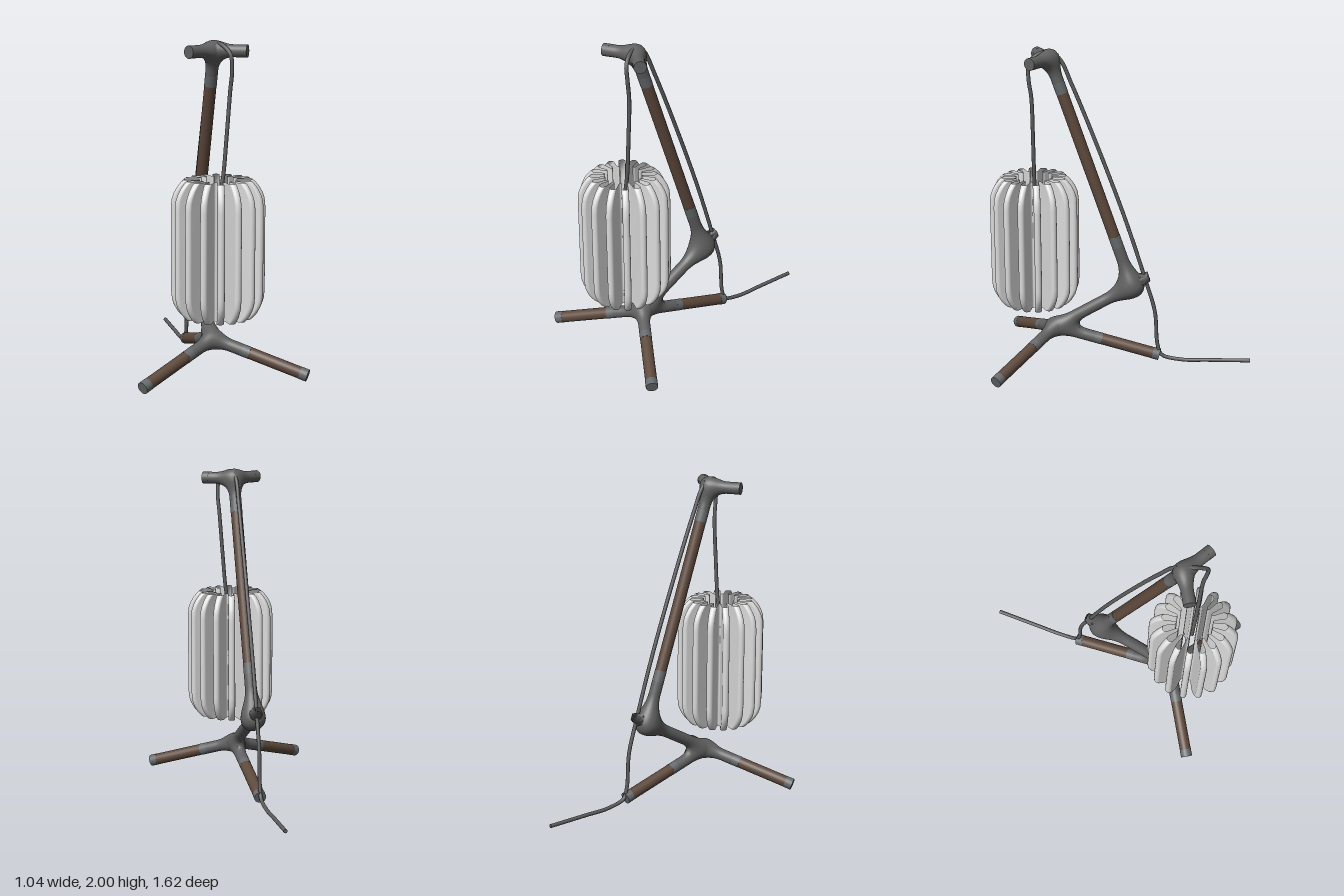
import * as THREE from 'three';

const V = (x, y, z) => new THREE.Vector3(x, y, z);
const R = 0.037;

export function createModel() {
  const model = new THREE.Group();
  model.name = 'tripodLamp';
  const material = (name, color, side = THREE.FrontSide) => {
    const m = new THREE.MeshStandardMaterial({ color, side });
    m.name = name;
    return m;
  };
  const grey = material('jointGrey', 0x606060);
  const collarGrey = material('collarGrey', 0x666a6c);
  const wood = material('darkWood', 0x5e493c);
  const cordGrey = material('cordGrey', 0x5c5c5c);
  const shadeWhite = material('shadeWhite', 0xdcdcdc, THREE.DoubleSide);

  const add = (name, geometry, mat) => {
    const mesh = new THREE.Mesh(geometry, mat);
    mesh.name = name;
    model.add(mesh);
    return mesh;
  };

  // Straight round rod between two points
  function rod(name, a, b, r, mat) {
    const d = b.clone().sub(a);
    const mesh = add(name, new THREE.CylinderGeometry(r, r, d.length(), 28), mat);
    mesh.position.copy(a).lerp(b, 0.5);
    mesh.quaternion.setFromUnitVectors(V(0, 1, 0), d.normalize());
  }

  // Wooden rod with a collar at each end
  function woodenRod(name, a, b, collar) {
    const d = b.clone().sub(a).normalize();
    const a1 = a.clone().addScaledVector(d, collar);
    const b1 = b.clone().addScaledVector(d, -collar);
    rod(name, a1, b1, R - 0.001, wood);
    rod(name + 'StartCollar', a, a1, R, collarGrey);
    rod(name + 'EndCollar', b1, b, R, collarGrey);
  }

  // Moulded joint: limbs meet at a hub and melt together; pairs are [limb, limb, softness]
  function joint(name, hub, ends, pairs) {
    const limbs = ends.map((e) => {
      const dir = e.clone().sub(hub);
      const length = dir.length();
      return { dir: dir.normalize(), length };
    });
    const q = V(0, 0, 0);
    const field = (p) => {
      const d = limbs.map(({ dir }) => {
        q.copy(p).sub(hub);
        return q.addScaledVector(dir, -Math.max(q.dot(dir), 0)).length() - R;
      });
      return Math.min(...pairs.map(([i, j, k]) => {
        const h = Math.max(k - Math.abs(d[i] - d[j]), 0) / k;
        return Math.min(d[i], d[j]) - h * h * k / 4;
      }));
    };
    const along = 36, around = 32;
    limbs.forEach(({ dir, length }, n) => {
      const side = V(1, 0.013, 0.02).cross(dir).normalize();
      const up = dir.clone().cross(side);
      const pos = [], nor = [], idx = [];
      for (let i = 0; i <= along; i++) {
        const t = -0.02 + (length + 0.02) * i / along;
        for (let j = 0; j <= around; j++) {
          const a = j / around * Math.PI * 2;
          const ray = side.clone().multiplyScalar(Math.cos(a)).addScaledVector(up, Math.sin(a));
          const start = hub.clone().addScaledVector(dir, t);
          const p = start.clone();
          let reach = 0;
          for (let s = 0; s < 30 && reach < 0.12; s++) {
            reach = Math.min(Math.max(reach - field(p) * 0.8, 0), 0.12);
            p.copy(start).addScaledVector(ray, reach);
          }
          const e = 0.001, f = field(p);
          const g = V(field(p.clone().add(V(e, 0, 0))) - f, field(p.clone().add(V(0, e, 0))) - f,
            field(p.clone().add(V(0, 0, e))) - f).normalize();
          pos.push(p.x, p.y, p.z);
          nor.push(g.x, g.y, g.z);
          if (i < along && j < around) {
            const k = i * (around + 1) + j, m = k + around + 1;
            idx.push(k, k + 1, m, k + 1, m + 1, m);
          }
        }
      }
      const geo = new THREE.BufferGeometry();
      geo.setAttribute('position', new THREE.Float32BufferAttribute(pos, 3));
      geo.setAttribute('normal', new THREE.Float32BufferAttribute(nor, 3));
      geo.setIndex(idx);
      add(name + 'Limb' + n, geo, grey);
    });
  }

  // Key points of the frame
  const topHub = V(0, 1.947, 0.432);
  const midHub = V(0, 0.51, -0.066);
  const baseHub = V(0, 0.225, 0.42);
  const poleTop = topHub.clone().lerp(midHub, 0.1);
  const poleLow = topHub.clone().lerp(midHub, 0.82);
  const armMid = midHub.clone().lerp(baseHub, 0.5);
  const stubEnd = V(0, 0.55, -0.125);
  const rearTip = V(0, 0.05, -0.24);
  const rearStart = baseHub.clone().lerp(rearTip, 0.38);
  const frontTips = [1, -1].map((s) => V(s * 0.498, 0.047, 0.73));
  const frontStarts = frontTips.map((t) => baseHub.clone().lerp(t, 0.32));
  const topTips = [1, -1].map((s) => V(s * 0.175, 1.947, 0.533));

  joint('topJoint', topHub, [poleTop, ...topTips], [[0, 1, 0.09], [0, 2, 0.09], [1, 2, 0.05]]);
  joint('middleJoint', midHub, [poleLow, armMid, stubEnd], [[0, 1, 0.16], [0, 2, 0.04], [1, 2, 0.02]]);
  joint('baseJoint', baseHub, [armMid, rearStart, ...frontStarts],
    [[0, 1, 0.09], [0, 2, 0.09], [0, 3, 0.09], [1, 2, 0.09], [1, 3, 0.09], [2, 3, 0.09]]);

  // Solid ends that close the open limbs
  topTips.forEach((t) => rod('topArmEnd', topHub.clone().lerp(t, 0.8), t, R + 0.0005, grey));
  rod('stubEnd', V(0, 0.535, -0.105), V(0, 0.556, -0.135), R + 0.003, grey);

  // Pole and legs
  woodenRod('pole', poleTop, poleLow, 0.07);
  woodenRod('rearLeg', rearStart, rearTip, 0.045);
  frontTips.forEach((t, i) => woodenRod(i ? 'rightFrontLeg' : 'leftFrontLeg', frontStarts[i], t, 0.048));

  // Power cord: from inside the shade, over the top, down the pole and out at the back
  const cord = new THREE.CatmullRomCurve3([
    [0, 0.98, 0.535], [0.005, 1.08, 0.535], [0.03, 1.22, 0.535], [0.05, 1.45, 0.535],
    [0.07, 1.72, 0.538], [0.077, 1.84, 0.552], [0.068, 1.93, 0.55], [0.035, 1.98, 0.5],
    [0.01, 1.988, 0.44], [0, 1.95, 0.375], [0, 1.79, 0.3], [0, 1.39, 0.14],
    [0, 0.94, -0.025], [0, 0.55, -0.15], [0, 0.34, -0.21], [0, 0.12, -0.228],
    [0, 0.05, -0.255], [0, 0.02, -0.38], [0, 0.022, -0.55], [0, 0.026, -0.812],
  ].map((p) => V(...p)));
  add('cord', new THREE.TubeGeometry(cord, 240, 0.012, 12), cordGrey);
  rod('cordEnd', V(0, 0.026, -0.8), V(0, 0.026, -0.815), 0.012, cordGrey);

  // Pleated shade: one open sheet with sixteen hollow fins
  const fins = 16, inner = 0.108, half = 0.021;
  const profile = [[0.39, 0.2], [0.405, 0.217], [0.43, 0.238], [0.465, 0.258], [0.5, 0.27],
    [0.55, 0.275], [0.8, 0.275], [1.05, 0.275], [1.1, 0.27], [1.135, 0.258], [1.17, 0.238],
    [1.195, 0.217], [1.21, 0.2]];
  const pos = [], idx = [];
  let ring = 0;
  profile.forEach(([y, r]) => {
    const section = [[inner, -inner * Math.tan(Math.PI / fins)], [inner + 0.004, -0.017], [inner + 0.014, -0.0145]];
    for (let i = 0; i <= 8; i++) {
      const a = (i / 8 - 0.5) * Math.PI;
      section.push([r - half + half * Math.cos(a), half * Math.sin(a)]);
    }
    section.push([inner + 0.014, 0.0145], [inner + 0.004, 0.017]);
    ring = section.length * fins;
    for (let f = 0; f < fins; f++) {
      const a = (f + 0.5) / fins * Math.PI * 2, s = Math.sin(a), c = Math.cos(a);
      section.forEach(([out, across]) => pos.push(out * s + across * c, y, 0.54 + out * c - across * s));
    }
  });
  for (let i = 0; i < profile.length - 1; i++) {
    for (let j = 0; j < ring; j++) {
      const a = i * ring + j, b = i * ring + (j + 1) % ring;
      idx.push(a, b, b + ring, a, b + ring, a + ring);
    }
  }
  const shade = new THREE.BufferGeometry();
  shade.setAttribute('position', new THREE.Float32BufferAttribute(pos, 3));
  shade.setIndex(idx);
  shade.computeVertexNormals();
  add('shade', shade, shadeWhite);

  return model;
}
